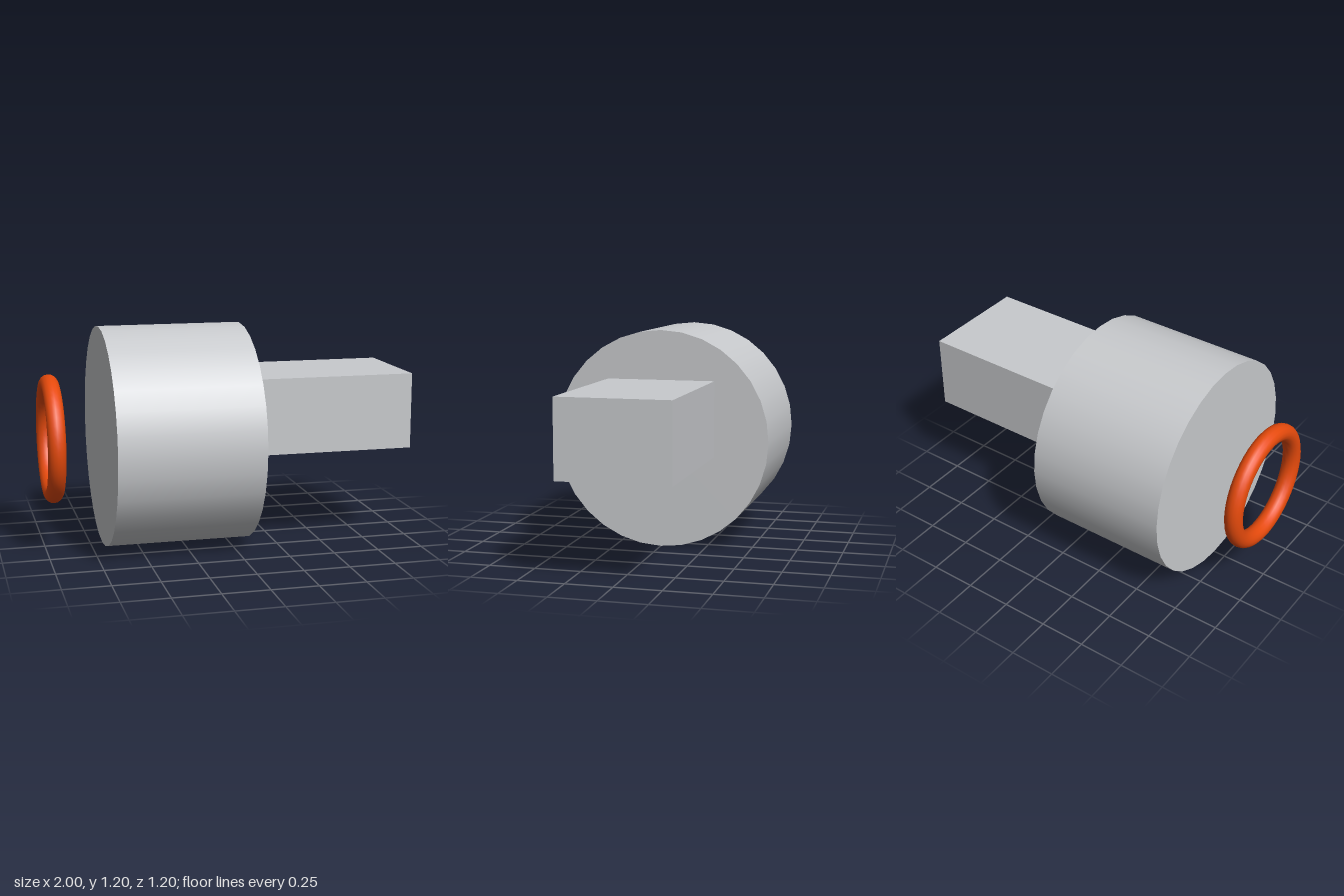
import * as THREE from 'three';

export function createModel() {
  const model = new THREE.Group();
  const grey = new THREE.MeshStandardMaterial({ color: 0xc8cacd });
  grey.name = 'lightGrey';
  const orange = new THREE.MeshStandardMaterial({ color: 0xe64a0c });
  orange.name = 'orange';

  const add = (name, geometry, material, x, y) => {
    const mesh = new THREE.Mesh(geometry, material);
    mesh.name = name;
    mesh.position.set(x, y, 0);
    model.add(mesh);
  };

  // Drum lying along x
  add('drum', new THREE.CylinderGeometry(0.6, 0.6, 0.78, 32).rotateZ(Math.PI / 2), grey, -0.293, 0.603);

  // Rectangular block on the drum's left face, above its axis
  add('block', new THREE.BoxGeometry(0.903, 0.416, 0.6), grey, 0.5485, 0.723);

  // Ring floating off the drum's right face
  add('ring', new THREE.TorusGeometry(0.3, 0.048, 16, 48).rotateY(Math.PI / 2), orange, -0.952, 0.603);

  return model;
}
